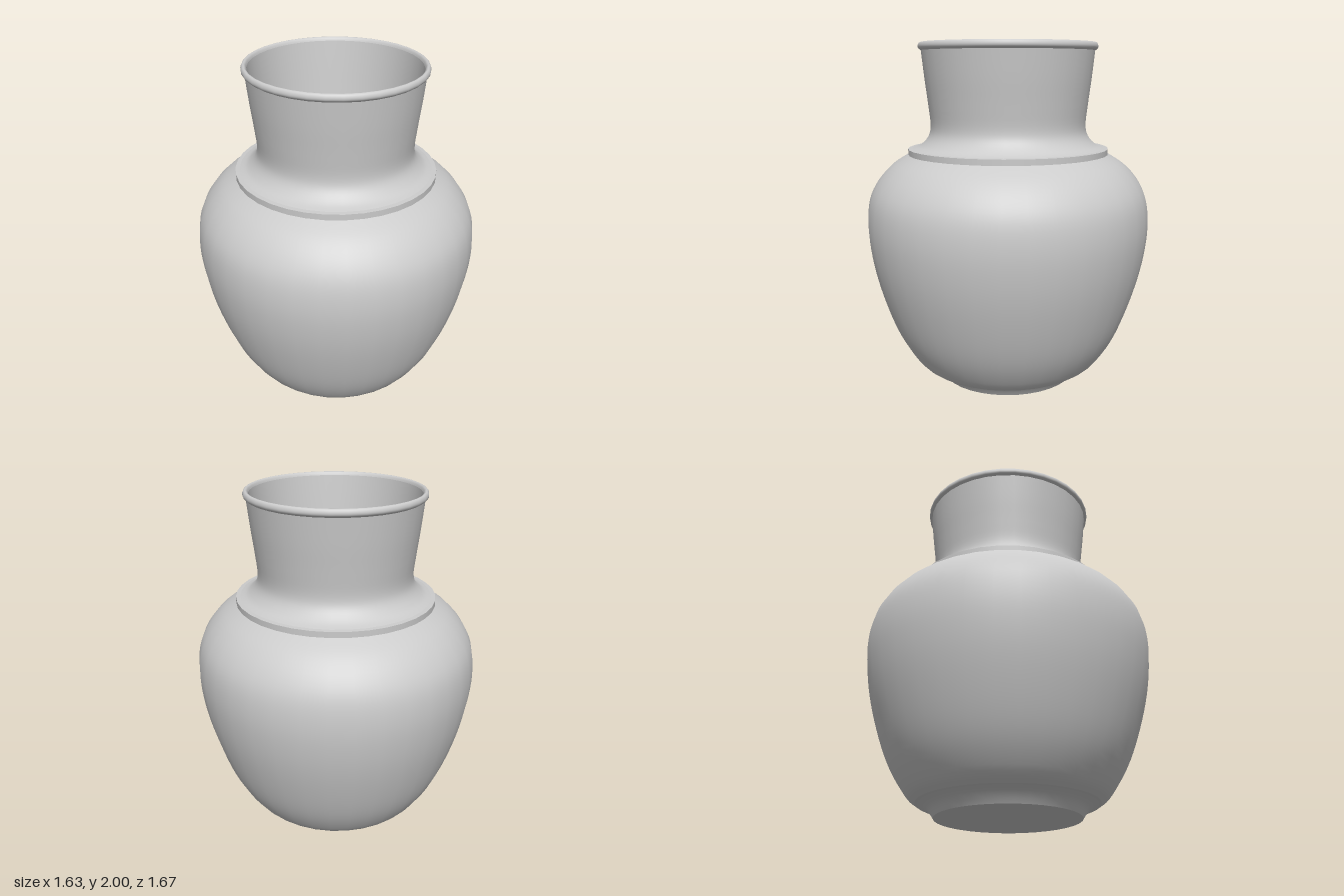
import * as THREE from 'three';

const SIDES = 36;

// Profile points run up the outside, over the rim and down the inside.
const toVectors = (pts) => pts.map(([r, y]) => new THREE.Vector2(r, y));
const smooth = (pts, n) => new THREE.SplineCurve(toVectors(pts)).getPoints(n);

export function createModel() {
  const vase = new THREE.Group();
  vase.name = 'vase';
  const material = new THREE.MeshStandardMaterial({ color: 0xcccccc });

  function turn(name, profile) {
    const mesh = new THREE.Mesh(new THREE.LatheGeometry(profile, SIDES), material);
    mesh.name = name;
    vase.add(mesh);
  }

  // Flat base and flared foot
  turn('base', toVectors([[0, 0], [0.4, 0]]));
  turn('foot', toVectors([[0.4, 0], [0.415, 0.025], [0.44, 0.058], [0.5, 0.078]]));

  // Full-shouldered body
  turn('body', smooth([
    [0.5, 0.078], [0.555, 0.125], [0.635, 0.25], [0.7, 0.4], [0.762, 0.6],
    [0.8, 0.78], [0.815, 0.95], [0.8, 1.1], [0.75, 1.21], [0.67, 1.3], [0.575, 1.362],
  ], 40));

  // Raised collar at the base of the neck
  turn('collarEdge', toVectors([[0.575, 1.362], [0.575, 1.395]]));
  turn('collarTop', toVectors([[0.575, 1.395], [0.55, 1.397]]));

  // Flaring neck
  turn('neck', smooth([
    [0.55, 1.397], [0.505, 1.415], [0.46, 1.465], [0.445, 1.53], [0.456, 1.65], [0.474, 1.8], [0.49, 1.955],
  ], 24));

  // Rounded lip
  turn('rim', smooth([
    [0.49, 1.955], [0.504, 1.966], [0.507, 1.98], [0.502, 1.994], [0.492, 2], [0.482, 1.994], [0.476, 1.98],
  ], 14));

  // Hollow interior with a rounded floor
  turn('interior', smooth([
    [0.476, 1.98], [0.45, 1.75], [0.425, 1.5], [0.405, 1.1], [0.37, 0.7],
    [0.31, 0.4], [0.2, 0.2], [0.1, 0.13], [0, 0.11],
  ], 32));

  // The pot is very slightly oval
  vase.scale.z = 1.026;
  return vase;
}
